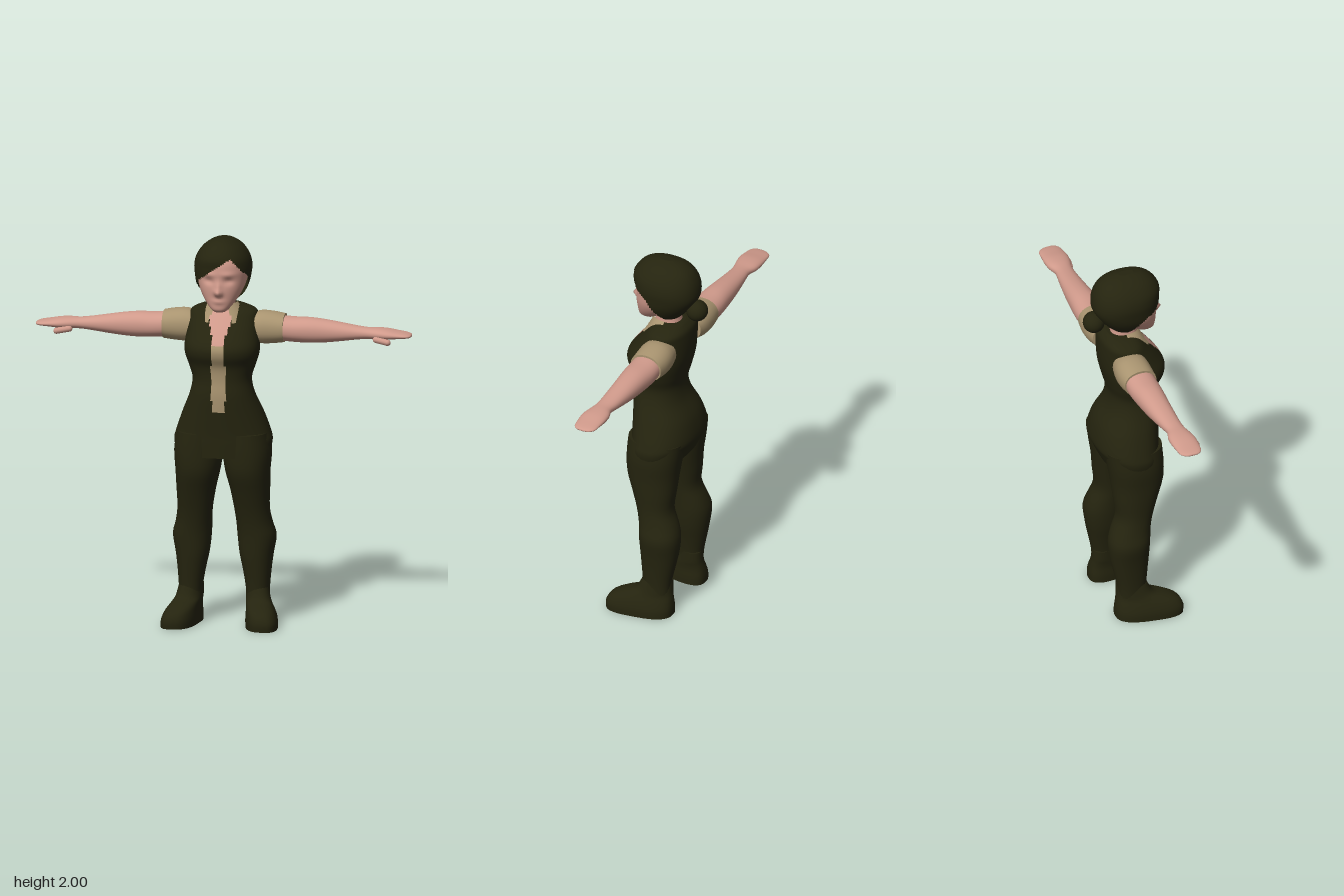
import * as THREE from 'three';

const mat = (name, color) => {
  const m = new THREE.MeshStandardMaterial({ color, side: THREE.DoubleSide });
  m.name = name;
  return m;
};

// Smooth loft through sections [t, a0, a1, b0, b1, roundness].
// axis 'y': t=y, a=x, b=z.  axis 'x': t=x, a=z, b=y.
// paint(p) gives a material index per face, or -1 to leave the face out.
function loft(sections, { axis = 'y', steps = 3, around = 32, paint = () => 0, warp, mirror = false, caps = true } = {}) {
  const curve = (k) => new THREE.CatmullRomCurve3(
    sections.map((s) => new THREE.Vector3(s[k], s[k + 1], s[k + 2] ?? 2.2)), false, 'catmullrom', 0.5);
  const cA = curve(0), cB = curve(3);
  const rows = (sections.length - 1) * steps;
  const pts = [];
  const put = (t, a, b) => {
    const p = axis === 'y' ? new THREE.Vector3(a, t, b) : new THREE.Vector3(t, b, a);
    if (warp) warp(p);
    if (mirror) p.x = -p.x;
    return pts.push(p) - 1;
  };
  const ring = (i) => {
    const A = cA.getPoint(i / rows), B = cB.getPoint(i / rows);
    const first = pts.length;
    for (let j = 0; j < around; j++) {
      const th = (j / around) * Math.PI * 2, c = Math.cos(th), s = Math.sin(th), e = 2 / B.z;
      const ca = Math.sign(c) * Math.abs(c) ** e, sb = Math.sign(s) * Math.abs(s) ** e;
      put(A.x, (A.y + A.z) / 2 + ca * (A.z - A.y) / 2, (B.x + B.y) / 2 + sb * (B.y - B.x) / 2);
    }
    return { first, mid: [A.x, (A.y + A.z) / 2, (B.x + B.y) / 2] };
  };
  const lists = [];
  const face = (...ids) => {
    const c = new THREE.Vector3();
    ids.forEach((i) => c.addScaledVector(pts[i], 1 / ids.length));
    const m = paint(c);
    if (m < 0) return;
    const list = (lists[m] ??= []);
    for (let k = 1; k < ids.length - 1; k++) {
      list.push(...(mirror ? [ids[0], ids[k + 1], ids[k]] : [ids[0], ids[k], ids[k + 1]]));
    }
  };
  for (let i = 0; i <= rows; i++) ring(i);
  for (let i = 0; i < rows; i++) {
    for (let j = 0; j < around; j++) {
      const n = (j + 1) % around, r = i * around;
      face(r + j, r + around + j, r + around + n, r + n);
    }
  }
  if (caps) {
    for (const end of [0, rows]) {
      const { first, mid } = ring(end);
      const centre = put(...mid);
      for (let j = 0; j < around; j++) {
        const a = first + j, b = first + (j + 1) % around;
        if (end) face(centre, b, a); else face(centre, a, b);
      }
    }
  }
  const g = new THREE.BufferGeometry();
  g.setAttribute('position', new THREE.Float32BufferAttribute(pts.flatMap((p) => p.toArray()), 3));
  g.setIndex(lists.flat());
  let start = 0;
  lists.forEach((l, m) => { g.addGroup(start, l.length, m); start += l.length; });
  g.computeVertexNormals();
  return g;
}

export function createModel() {
  const dark = mat('darkOlive', 0x25240f);
  const skin = mat('skin', 0xd09a8b);
  const tan = mat('tanShirt', 0xa99470);
  const model = new THREE.Group();
  model.name = 'figure';
  const add = (name, geometry, material) => {
    const m = new THREE.Mesh(geometry, material);
    m.name = name;
    model.add(m);
    return m;
  };

  // Vest and hips, with the shirt strip and open neck on the front
  const torso = [
    [0.88, 0.235, -0.125, 0.155], [0.95, 0.25, -0.155, 0.155], [1.0, 0.24, -0.17, 0.155],
    [1.1, 0.205, -0.15, 0.16], [1.2, 0.165, -0.1, 0.165], [1.28, 0.15, -0.085, 0.16],
    [1.35, 0.17, -0.1, 0.167], [1.41, 0.188, -0.115, 0.195], [1.46, 0.19, -0.125, 0.195],
    [1.52, 0.182, -0.13, 0.155], [1.58, 0.175, -0.13, 0.105], [1.62, 0.165, -0.125, 0.07],
    [1.645, 0.11, -0.105, 0.045], [1.655, 0.06, -0.09, 0.03],
  ].map(([y, w, b, f]) => [y, -w, w, b, f, 2.3]);
  add('torso', loft(torso, {
    steps: 5, around: 96,
    paint: ({ x, y, z }) => {
      if (z < 0.02 || y < 1.13 || Math.abs(x) > 0.036 + Math.max(0, y - 1.52) * 0.35) return 0;
      return y > 1.47 ? 2 : 1;
    },
  }), [dark, tan, skin]);

  add('neck', loft([[1.56, -0.075, 0.075, -0.09, 0.07], [1.62, -0.065, 0.065, -0.08, 0.068],
    [1.67, -0.058, 0.058, -0.07, 0.065], [1.74, -0.058, 0.058, -0.07, 0.06]]), skin);

  // Shirt collar, open at the front and hidden at the back
  add('collar', loft([[1.575, -0.118, 0.118, -0.1, 0.125], [1.62, -0.105, 0.105, -0.09, 0.092],
    [1.665, -0.07, 0.07, -0.08, 0.07]], {
    around: 64, steps: 5, caps: false,
    paint: ({ x, y, z }) => (z < -0.01 || Math.abs(x) < 0.03 + (1.67 - y) * 0.35 ? -1 : 0),
  }), tan);

  // Head with nose, lips, brow and eye sockets shaped by small bumps
  const bump = (x, y, cx, cy, wx, wy) => Math.exp(-(((x - cx) / wx) ** 2) - ((y - cy) / wy) ** 2);
  add('head', loft([
    [1.637, -0.028, 0.028, 0.08, 0.145], [1.655, -0.05, 0.05, 0.05, 0.16], [1.7, -0.085, 0.085, -0.01, 0.162],
    [1.75, -0.112, 0.112, -0.08, 0.166], [1.8, -0.126, 0.126, -0.13, 0.166], [1.85, -0.13, 0.13, -0.145, 0.166],
    [1.9, -0.12, 0.12, -0.14, 0.155], [1.95, -0.08, 0.08, -0.1, 0.12], [1.97, -0.03, 0.03, -0.04, 0.06],
  ], {
    steps: 6, around: 72,
    warp: (p) => {
      if (p.z < 0.06) return;
      const { x, y } = p, ax = Math.abs(x);
      p.z += 0.032 * bump(x, y, 0, 1.742, 0.018, 0.018) + 0.016 * bump(x, y, 0, 1.772, 0.013, 0.025)
        + 0.008 * bump(x, y, 0, 1.695, 0.03, 0.012) + 0.006 * bump(ax, y, 0.05, 1.835, 0.035, 0.012)
        - 0.012 * bump(ax, y, 0.05, 1.8, 0.025, 0.016);
    },
  }), skin);

  // Hair cap cut along a side-parted hairline, and the bun behind
  add('hair', loft([
    [1.67, -0.075, 0.075, -0.06, 0.15], [1.71, -0.105, 0.105, -0.1, 0.165], [1.76, -0.13, 0.13, -0.14, 0.175],
    [1.81, -0.141, 0.141, -0.167, 0.178], [1.86, -0.145, 0.145, -0.17, 0.18], [1.91, -0.133, 0.133, -0.158, 0.18],
    [1.955, -0.102, 0.102, -0.13, 0.15], [1.985, -0.06, 0.06, -0.085, 0.105], [2.0, -0.02, 0.02, -0.03, 0.05],
  ], {
    steps: 7, around: 96,
    paint: ({ x, y, z }) => {
      const front = 1.92 - (x < 0.06 ? (0.06 - x) * 0.72 : (x - 0.06) * 1.3);
      const line = THREE.MathUtils.lerp(1.68, front, THREE.MathUtils.smoothstep(z, -0.03, 0.085));
      return y > line ? 0 : -1;
    },
  }), dark);
  const bun = add('hairBun', new THREE.SphereGeometry(0.056, 20, 14), dark);
  bun.position.set(0, 1.74, -0.165);

  for (const [side, mirror] of [['left', false], ['right', true]]) {
    const s = mirror ? -1 : 1;

    // Trouser leg
    add(side + 'Leg', loft([
      [1.0, 0.0, 0.235, -0.15, 0.15], [0.9, 0.0, 0.248, -0.135, 0.155], [0.8, 0.014, 0.241, -0.12, 0.152],
      [0.7, 0.038, 0.238, -0.11, 0.12], [0.6, 0.056, 0.235, -0.1, 0.09], [0.52, 0.064, 0.247, -0.13, 0.073],
      [0.45, 0.068, 0.264, -0.148, 0.066], [0.36, 0.078, 0.25, -0.14, 0.062], [0.28, 0.095, 0.24, -0.125, 0.055],
      [0.18, 0.112, 0.232, -0.105, 0.047], [0.1, 0.115, 0.232, -0.1, 0.05],
    ].reverse(), { mirror }), dark);

    // Boot, toes turned outward
    add(side + 'Boot', loft([
      [0, 0.112, 0.28, -0.12, 0.22, 2.8], [0.04, 0.112, 0.278, -0.12, 0.222, 2.8], [0.08, 0.115, 0.265, -0.115, 0.2, 2.6],
      [0.11, 0.115, 0.25, -0.11, 0.14, 2.4], [0.135, 0.115, 0.242, -0.107, 0.075, 2.3], [0.19, 0.115, 0.232, -0.105, 0.045, 2.2],
    ], { mirror, warp: (p) => { p.x += p.z * 0.16; } }), dark);

    // Short sleeve
    add(side + 'Sleeve', loft([
      [0.13, -0.115, 0.05, 1.46, 1.6], [0.19, -0.128, 0.055, 1.448, 1.615], [0.25, -0.13, 0.053, 1.45, 1.612],
      [0.31, -0.122, 0.05, 1.458, 1.602],
    ], { axis: 'x', mirror }), tan);

    // Bare arm running into a flat hand
    add(side + 'Arm', loft([
      [0.28, -0.115, 0.042, 1.467, 1.593], [0.36, -0.115, 0.042, 1.461, 1.588], [0.44, -0.108, 0.038, 1.459, 1.588],
      [0.52, -0.1, 0.032, 1.464, 1.58], [0.6, -0.09, 0.028, 1.474, 1.568], [0.68, -0.078, 0.024, 1.486, 1.556],
      [0.74, -0.07, 0.025, 1.493, 1.55], [0.79, -0.085, 0.036, 1.493, 1.55], [0.84, -0.088, 0.045, 1.494, 1.547],
      [0.89, -0.084, 0.042, 1.5, 1.538], [0.935, -0.078, 0.036, 1.504, 1.53], [0.957, -0.055, 0.02, 1.508, 1.524],
      [0.963, -0.03, 0, 1.513, 1.519],
    ], { axis: 'x', mirror }), skin);

    // Thumb
    const thumb = add(side + 'Thumb', new THREE.CapsuleGeometry(0.016, 0.065, 4, 10), skin);
    thumb.position.set(0.818 * s, 1.494, 0.038);
    thumb.quaternion.setFromUnitVectors(new THREE.Vector3(0, 1, 0),
      new THREE.Vector3(0.075 * s, -0.012, 0.018).normalize());
  }
  return model;
}
